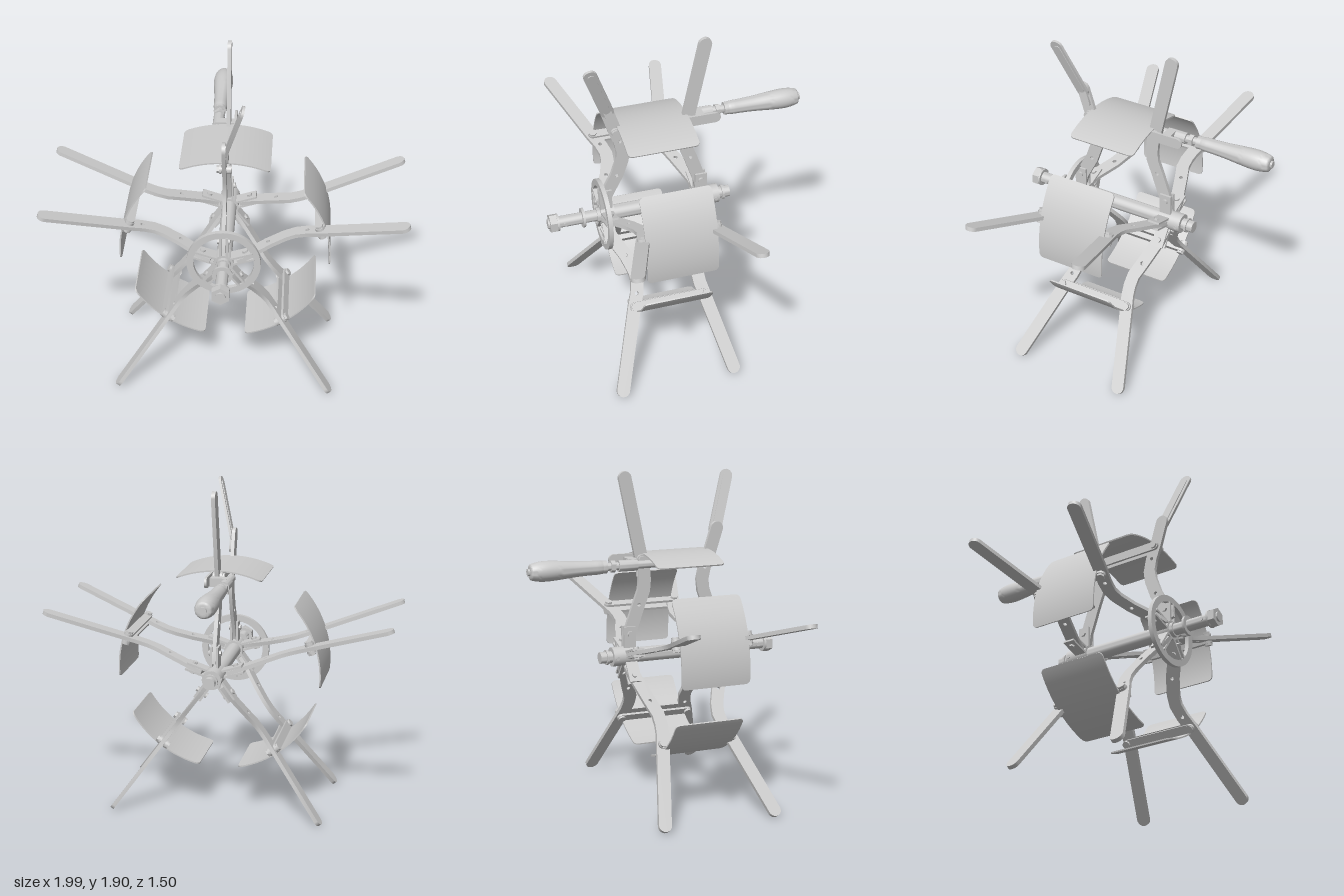
import * as THREE from 'three';
import { toCreasedNormals } from 'three/addons/utils/BufferGeometryUtils.js';

const HUB_Y = 0.858;
const grey = new THREE.MeshStandardMaterial({ color: 0xcccccc, side: THREE.DoubleSide });

function add(parent, name, geometry, x = 0, y = 0, z = 0) {
  const mesh = new THREE.Mesh(toCreasedNormals(geometry, 0.6), grey);
  mesh.name = name;
  mesh.position.set(x, y, z);
  parent.add(mesh);
  return mesh;
}

// Turned part along z; points are [radius, z]
function turned(points, segments = 32) {
  const g = new THREE.LatheGeometry(points.map(([r, z]) => new THREE.Vector2(r, z)), segments);
  return g.rotateX(Math.PI / 2);
}
const rod = (r, z0, z1, segments = 28) => turned([[0, z0], [r, z0], [r, z1], [0, z1]], segments);

// Flat plate lying in the z/radius plane, centred on its thickness
function plate(shape, thickness) {
  const g = new THREE.ExtrudeGeometry(shape, { depth: thickness, bevelEnabled: false, curveSegments: 12 });
  return g.translate(0, 0, -thickness / 2).rotateY(-Math.PI / 2);
}

// Bent strip of constant width with a round tip; path points are [z, r]
function strip(path, width, holes = [], roundStart = false) {
  const p = path.map(([z, r]) => new THREE.Vector2(z, r));
  const h = width / 2, a = [], b = [];
  const dir = i => p[i + 1].clone().sub(p[i]).normalize();
  p.forEach((q, i) => {
    const d0 = dir(Math.max(0, i - 1)), d1 = dir(Math.min(p.length - 2, i));
    const t = d0.clone().add(d1).normalize();
    const n = new THREE.Vector2(-t.y, t.x).multiplyScalar(h / t.dot(d0));
    a.push(q.clone().add(n));
    b.push(q.clone().sub(n));
  });
  const cap = (q, d) => {
    const start = Math.atan2(d.y, d.x) - Math.PI / 2;
    return Array.from({ length: 11 }, (_, i) => {
      const t = start + (i + 1) / 12 * Math.PI;
      return new THREE.Vector2(q.x + h * Math.cos(t), q.y + h * Math.sin(t));
    });
  };
  const outline = [...b, ...cap(p[p.length - 1], dir(p.length - 2)), ...a.reverse()];
  if (roundStart) outline.push(...cap(p[0], dir(0).negate()));
  const shape = new THREE.Shape(outline);
  for (const [z, r] of holes) shape.holes.push(new THREE.Path().absarc(z, r, 0.011, 0, Math.PI * 2, true));
  return shape;
}

// Bolt across an arm: shank, round head and hex nut
function bolt(parent, y, z, reach, size) {
  const parts = [['boltShank', size * 0.5, reach * 2, 16, 0], ['boltHead', size, 0.012, 20, reach], ['boltNut', size, 0.014, 6, -reach]];
  for (const [name, r, len, n, x] of parts)
    add(parent, name, new THREE.CylinderGeometry(r, r, len, n).rotateZ(Math.PI / 2), x, y, z);
}

const frontPath = [[0.425, 0.07], [0.41, 0.13], [0.345, 0.255], [0.312, 0.35], [0.305, 0.41], [0.32, 0.48], [0.35, 0.56], [0.495, 1.008]];
const backPath = [[-0.15, 0.07], [-0.14, 0.13], [-0.085, 0.29], [-0.055, 0.37], [-0.05, 0.43], [-0.055, 0.49], [-0.07, 0.56], [-0.165, 1.008]];

// Curved sheet with rounded corners, crown at the given radius
function bladeGeometry() {
  const R = 0.625, half = 0.405, z0 = -0.065, z1 = 0.338, c = 0.025, crown = 0.584;
  const s = R * half, t = 0.008, n = 32;
  const us = [0, 0.1, 0.3, 0.6, 1].map(f => -s + c * f);
  for (let i = 1; i < n; i++) us.push(-s + c + (2 * s - 2 * c) * i / n);
  us.push(...[1, 0.6, 0.3, 0.1, 0].map(f => s - c * f));
  const pos = [], idx = [];
  for (const u of us) {
    const e = Math.max(0, Math.abs(u) - (s - c));
    const inset = c - Math.sqrt(Math.max(0, c * c - e * e));
    for (const [r, z] of [[R, z1 - inset], [R, z0 + inset], [R - t, z0 + inset], [R - t, z1 - inset]])
      pos.push(r * Math.sin(u / R), r * Math.cos(u / R) + crown - R, z);
  }
  for (let i = 0; i < us.length - 1; i++)
    for (let k = 0; k < 4; k++) {
      const a = i * 4 + k, b = i * 4 + (k + 1) % 4;
      idx.push(a, a + 4, b, b, a + 4, b + 4);
    }
  const m = (us.length - 1) * 4;
  idx.push(0, 1, 2, 0, 2, 3, m, m + 2, m + 1, m, m + 3, m + 2);
  const g = new THREE.BufferGeometry();
  g.setAttribute('position', new THREE.Float32BufferAttribute(pos, 3));
  g.setIndex(idx);
  return g;
}

// One spoke: front and back arm, curved blade, side bars, hub brackets
function createSpoke(folding) {
  const g = new THREE.Group();
  const holes = [[0.345, 0.255], [0.322, 0.48]];
  if (folding) {
    const short = [...frontPath.slice(0, -1), [0.394, 0.7]];
    add(g, 'frontArm', plate(strip(short, 0.074, holes), 0.02));
    // hinged tip tilted out of the spoke plane
    const tip = new THREE.Group();
    tip.name = 'foldingTip';
    tip.position.set(0.014, 0.69, 0.39);
    tip.rotation.z = -0.28;
    add(tip, 'foldingTipPlate', plate(strip([[0, 0], [0.105, 0.305]], 0.074, [], true), 0.014));
    add(tip, 'foldingTipRib', plate(strip([[0.005, 0.015], [0.1, 0.295]], 0.04, [], true), 0.022));
    g.add(tip);
    add(g, 'tipHinge', plate(strip([[0.365, 0.62], [0.392, 0.7]], 0.045, [], true), 0.014), 0.016);
  } else {
    add(g, 'frontArm', plate(strip(frontPath, 0.074, holes), 0.022));
  }
  add(g, 'backArm', plate(strip(backPath, 0.074, [[-0.085, 0.29]]), 0.022));
  add(g, 'blade', bladeGeometry());
  for (const side of [-1, 1])
    add(g, 'bladeBar', plate(strip([[-0.075, 0.552], [0.35, 0.552]], 0.05, [], true), 0.014), side * 0.021);
  for (const z of [-0.075, 0.35]) bolt(g, 0.552, z, 0.034, 0.022);
  for (const z of [-0.145, 0.415]) {
    for (const side of [-1, 1])
      add(g, 'hubBracket', new THREE.BoxGeometry(0.012, 0.13, 0.07), side * 0.018, 0.105, z);
    bolt(g, 0.13, z, 0.029, 0.016);
  }
  return g;
}

function createHub() {
  const g = new THREE.Group();
  g.name = 'hub';
  add(g, 'axle', rod(0.033, -0.32, 0.73));
  add(g, 'sleeve', rod(0.042, -0.2, 0.47));
  add(g, 'frontCollar', rod(0.055, 0.37, 0.45));
  add(g, 'stopWasher', rod(0.056, 0.542, 0.556));
  add(g, 'frontWasher', rod(0.05, 0.69, 0.702));
  add(g, 'frontNut', rod(0.054, 0.702, 0.742, 6));
  add(g, 'axleEnd', rod(0.028, 0.73, 0.752));
  add(g, 'backCollar', rod(0.055, -0.25, -0.11));
  add(g, 'backWasher', rod(0.042, -0.285, -0.272));
  for (const z of [0.655, -0.228])
    add(g, 'crossPin', new THREE.CylinderGeometry(0.011, 0.011, z > 0 ? 0.074 : 0.116, 14).rotateZ(Math.PI / 2), 0, 0, z);
  add(g, 'handRing', turned([[0.166, 0.422], [0.204, 0.422], [0.204, 0.446], [0.166, 0.446], [0.166, 0.422]], 64));
  return g;
}

function createHandle() {
  const g = new THREE.Group();
  g.name = 'crankHandle';
  g.position.set(-0.064, 0.53, 0);
  add(g, 'handlePin', rod(0.022, -0.32, 0.0));
  add(g, 'handleSleeve', rod(0.032, -0.23, -0.12));
  add(g, 'handleNut', rod(0.034, -0.275, -0.25, 6));
  add(g, 'handleFerrule', rod(0.036, -0.325, -0.3));
  const grip = [[0.036, -0.325], [0.039, -0.35], [0.04, -0.4], [0.044, -0.48], [0.051, -0.56],
    [0.056, -0.63], [0.055, -0.68], [0.048, -0.72], [0.038, -0.738], [0, -0.74]];
  const curve = new THREE.SplineCurve(grip.map(([r, z]) => new THREE.Vector2(r, z)));
  add(g, 'handleGrip', turned(curve.getPoints(36).map(p => [Math.max(0, p.x), p.y])));
  add(g, 'handleEndCap', rod(0.02, -0.752, -0.735));
  // lug joining the handle to the back arm
  add(g, 'handleLug', new THREE.BoxGeometry(0.1, 0.05, 0.05), 0.045, 0.008, -0.14);
  add(g, 'handleBar', plate(strip([[-0.22, 0.02], [-0.06, 0.02]], 0.06, [], true), 0.014), 0.098);
  add(g, 'lockPin', new THREE.CylinderGeometry(0.007, 0.007, 0.07, 12), 0, -0.03, -0.115);
  return g;
}

export function createModel() {
  const model = new THREE.Group();
  model.name = 'reel';
  const wheel = new THREE.Group();
  wheel.name = 'wheel';
  wheel.position.y = HUB_Y;
  model.add(wheel);
  wheel.add(createHub(), createHandle());
  for (let i = 0; i < 5; i++) {
    const spoke = createSpoke(i === 0);
    spoke.name = 'spoke' + (i + 1);
    spoke.rotation.z = i * Math.PI * 2 / 5;
    wheel.add(spoke);
  }
  return model;
}
